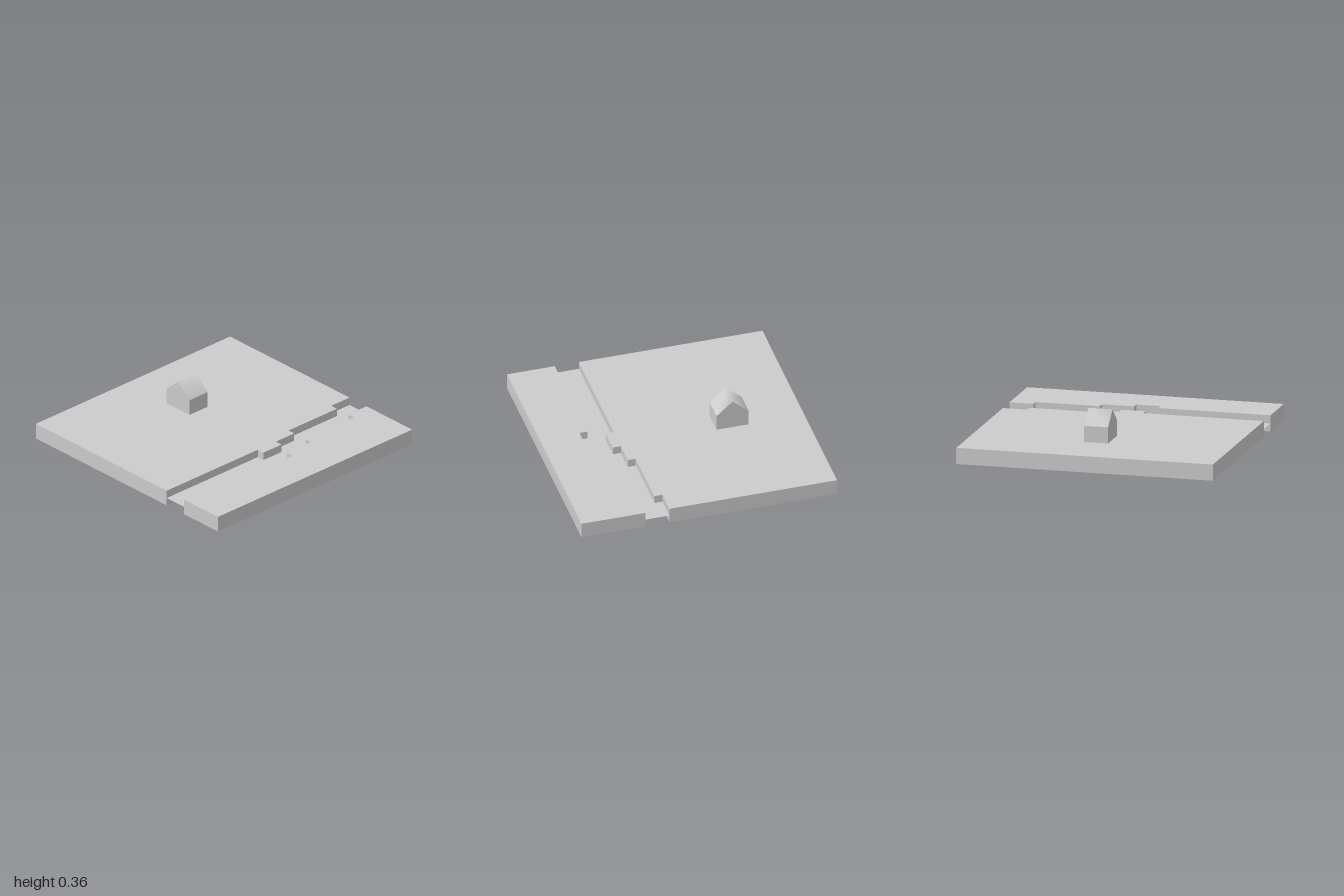
import * as THREE from 'three';

const U = 1 / 16; // modelling grid step
const material = new THREE.MeshStandardMaterial({ color: 0xcccccc, side: THREE.DoubleSide });

function addMesh(parent, name, geometry) {
  const mesh = new THREE.Mesh(geometry, material);
  mesh.name = name;
  parent.add(mesh);
  return mesh;
}

// Stepped shoreline from front to back; each step is [x, z where it ends] in grid units
function shoreline(steps) {
  const points = [];
  let z = 16;
  for (const [x, end] of steps) {
    points.push([x * U, z * U], [x * U, end * U]);
    z = end;
  }
  return points;
}

// Vertical walls along a closed [x, z] outline, facing outwards
function wallGeometry(outline, height) {
  const positions = [];
  outline.forEach(([ax, az], i) => {
    const [bx, bz] = outline[(i + 1) % outline.length];
    positions.push(ax, 0, az, bx, 0, bz, bx, height, bz);
    positions.push(ax, 0, az, bx, height, bz, ax, height, az);
  });
  const geometry = new THREE.BufferGeometry();
  geometry.setAttribute('position', new THREE.Float32BufferAttribute(positions, 3));
  geometry.computeVertexNormals();
  return geometry;
}

// Hollow land slab: top surface and walls, open underneath
function createBank(name, outline, height) {
  const bank = new THREE.Group();
  bank.name = name;
  const shape = new THREE.Shape(outline.map(([x, z]) => new THREE.Vector2(x, -z)));
  const top = new THREE.ShapeGeometry(shape).rotateX(-Math.PI / 2).translate(0, height, 0);
  addMesh(bank, 'landSurface', top);
  addMesh(bank, 'landWalls', wallGeometry(outline, height));
  return bank;
}

// Small gabled house standing at its own origin
function createHouse() {
  const house = new THREE.Group();
  house.name = 'house';
  const w = 4 * U, d = 3 * U, eave = 2 * U, ridge = 0.235;

  const gable = new THREE.Shape([
    [-w / 2, 0], [w / 2, 0], [w / 2, eave], [0, ridge], [-w / 2, eave],
  ].map(([x, y]) => new THREE.Vector2(x, y)));
  for (const [name, angle] of [['frontGable', 0], ['backGable', Math.PI]]) {
    addMesh(house, name, new THREE.ShapeGeometry(gable).translate(0, 0, d / 2).rotateY(angle));
  }
  for (const [name, side] of [['leftWall', 1], ['rightWall', -1]]) {
    addMesh(house, name, new THREE.PlaneGeometry(d, eave)
      .translate(0, eave / 2, w / 2).rotateY(side * Math.PI / 2));
  }

  // Roof: one sheet folded along the ridge, softly shaded across the fold
  const roof = new THREE.PlaneGeometry(w, d, 2, 1).rotateX(-Math.PI / 2);
  const p = roof.attributes.position;
  for (let i = 0; i < p.count; i++) {
    p.setY(i, ridge - (ridge - eave) * Math.abs(p.getX(i)) / (w / 2));
  }
  roof.computeVertexNormals();
  addMesh(house, 'roof', roof);
  return house;
}

export function createModel() {
  const model = new THREE.Group();
  model.name = 'riverTile';
  const height = 2 * U;

  // Land on both sides of the river
  const rightShore = shoreline([[7, 1], [8, -2], [7, -5], [6, -13], [5, -16]]);
  const leftShore = shoreline([[10, 2], [11, -1], [10, -5], [9, -13], [8, -16]]);
  model.add(createBank('rightBank', [[-1, 1], ...rightShore, [-1, -1]], height));
  model.add(createBank('leftBank', [[1, 1], [1, -1], ...leftShore.reverse()], height));

  // Water sheet running under the edges of both banks
  const water = new THREE.PlaneGeometry(9 * U, 2).rotateX(-Math.PI / 2);
  addMesh(model, 'water', water).position.set(7.5 * U, U, 0);

  const house = createHouse();
  house.position.set(-7 * U, height, -0.5 * U);
  model.add(house);
  return model;
}
